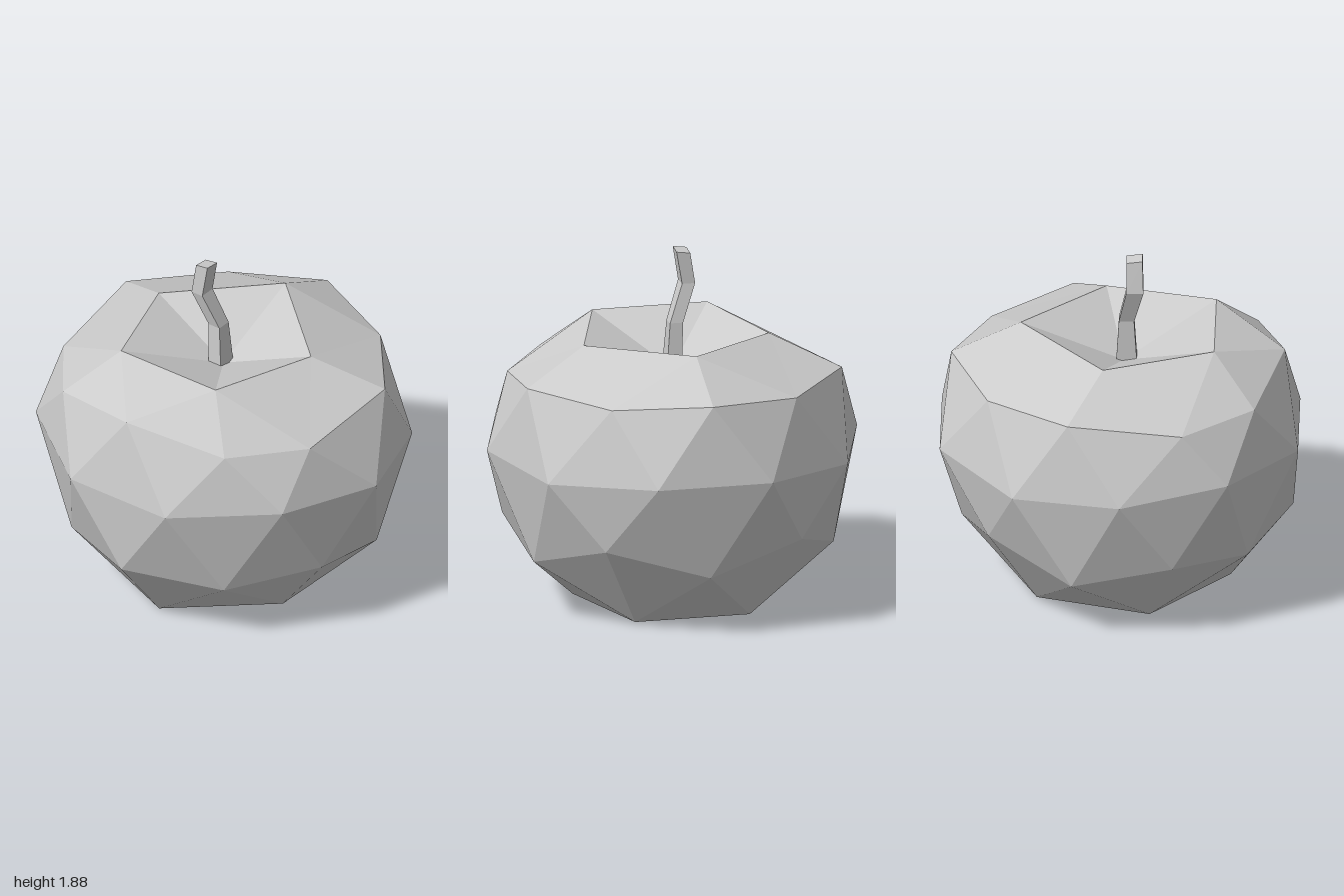
import * as THREE from 'three';

const material = new THREE.MeshStandardMaterial({ color: 0xcccccc, flatShading: true });

// Completes a ring listed for z >= 0 by mirroring it across z = 0
const ring = (half) => [
  ...half,
  ...half.filter((p) => p[2] !== 0).reverse().map(([x, y, z]) => [x, y, -z]),
];

function facetedMesh(name, triangles) {
  const geometry = new THREE.BufferGeometry();
  geometry.setAttribute('position', new THREE.Float32BufferAttribute(triangles.flat(2), 3));
  geometry.computeVertexNormals();
  const mesh = new THREE.Mesh(geometry, material);
  mesh.name = name;
  return mesh;
}

// Fruit body: a subdivided icosahedron, squashed, with both poles pushed in
function createBody() {
  const topPole = [-0.02, 1.25, 0];
  const rim = ring([[0.52, 1.465, 0], [0.08, 1.435, 0.5], [-0.5, 1.455, 0.31]]);
  const shoulder = ring([
    [0.885, 1.29, 0], [0.685, 1.25, 0.5], [0.26, 1.275, 0.85],
    [-0.34, 1.2, 0.81], [-0.715, 1.225, 0.53], [-0.865, 1.32, 0],
  ]);
  const middle = ring([
    [0.94, 0.87, 0.31], [0.55, 0.83, 0.81], [-0.015, 0.87, 1],
    [-0.58, 0.915, 0.81], [-0.94, 0.88, 0.31],
  ]);
  const lower = ring([
    [0.83, 0.34, 0], [0.68, 0.475, 0.53], [0.24, 0.32, 0.81],
    [-0.29, 0.445, 0.85], [-0.68, 0.365, 0.5], [-0.91, 0.42, 0],
  ]);
  const base = ring([[0.43, 0.01, 0.31], [-0.165, 0.01, 0.5], [-0.58, 0, 0]]);
  const bottomPole = [-0.02, 0.12, 0];

  const faces = [];
  const at = (list, i) => list[(i + list.length) % list.length];

  // Dimple fans and the bands that step from 5 to 10 points
  for (let k = 0; k < 5; k++) {
    const a = rim[k], a1 = at(rim, k + 1), s = 2 * k;
    faces.push([topPole, a1, a]);
    faces.push([a, shoulder[s], at(shoulder, s - 1)]);
    faces.push([a, at(shoulder, s + 1), shoulder[s]]);
    faces.push([a, a1, at(shoulder, s + 1)]);

    const e = base[k], e1 = at(base, k + 1);
    faces.push([bottomPole, e, e1]);
    faces.push([e, lower[s], lower[s + 1]]);
    faces.push([e, lower[s + 1], at(lower, s + 2)]);
    faces.push([e, at(lower, s + 2), e1]);
  }
  // Two zigzag bands around the widest part
  for (let j = 0; j < 10; j++) {
    const c = middle[j], c1 = at(middle, j + 1);
    faces.push([c, shoulder[j], at(shoulder, j + 1)]);
    faces.push([at(shoulder, j + 1), c1, c]);
    faces.push([c, at(lower, j + 1), lower[j]]);
    faces.push([c, c1, at(lower, j + 1)]);
  }
  return facetedMesh('body', faces);
}

// Bent square stem, lofted through rectangles: [x, y, z, halfWidth, halfDepth, tilt]
function createStem() {
  const sections = [
    [-0.035, 1.25, -0.005, 0.055, 0.04, 0],
    [-0.035, 1.5, -0.02, 0.04, 0.035, 0],
    [-0.08, 1.7, -0.095, 0.045, 0.035, 0],
    [-0.078, 1.875, -0.067, 0.042, 0.037, 0.005],
  ].map(([x, y, z, w, d, t]) =>
    [[1, 1], [1, -1], [-1, -1], [-1, 1]].map(([i, k]) => [x + i * w, y + t * (k - i), z + k * d]));

  const faces = [];
  const quad = (a, b, c, d) => faces.push([a, b, c], [a, c, d]);
  for (let s = 0; s < sections.length - 1; s++) {
    const low = sections[s], high = sections[s + 1];
    for (let i = 0; i < 4; i++) {
      const n = (i + 1) % 4;
      quad(low[i], low[n], high[n], high[i]);
    }
  }
  quad(...sections[sections.length - 1]);
  quad(...[...sections[0]].reverse());
  return facetedMesh('stem', faces);
}

export function createModel() {
  const model = new THREE.Group();
  model.name = 'apple';
  model.add(createBody(), createStem());
  return model;
}
